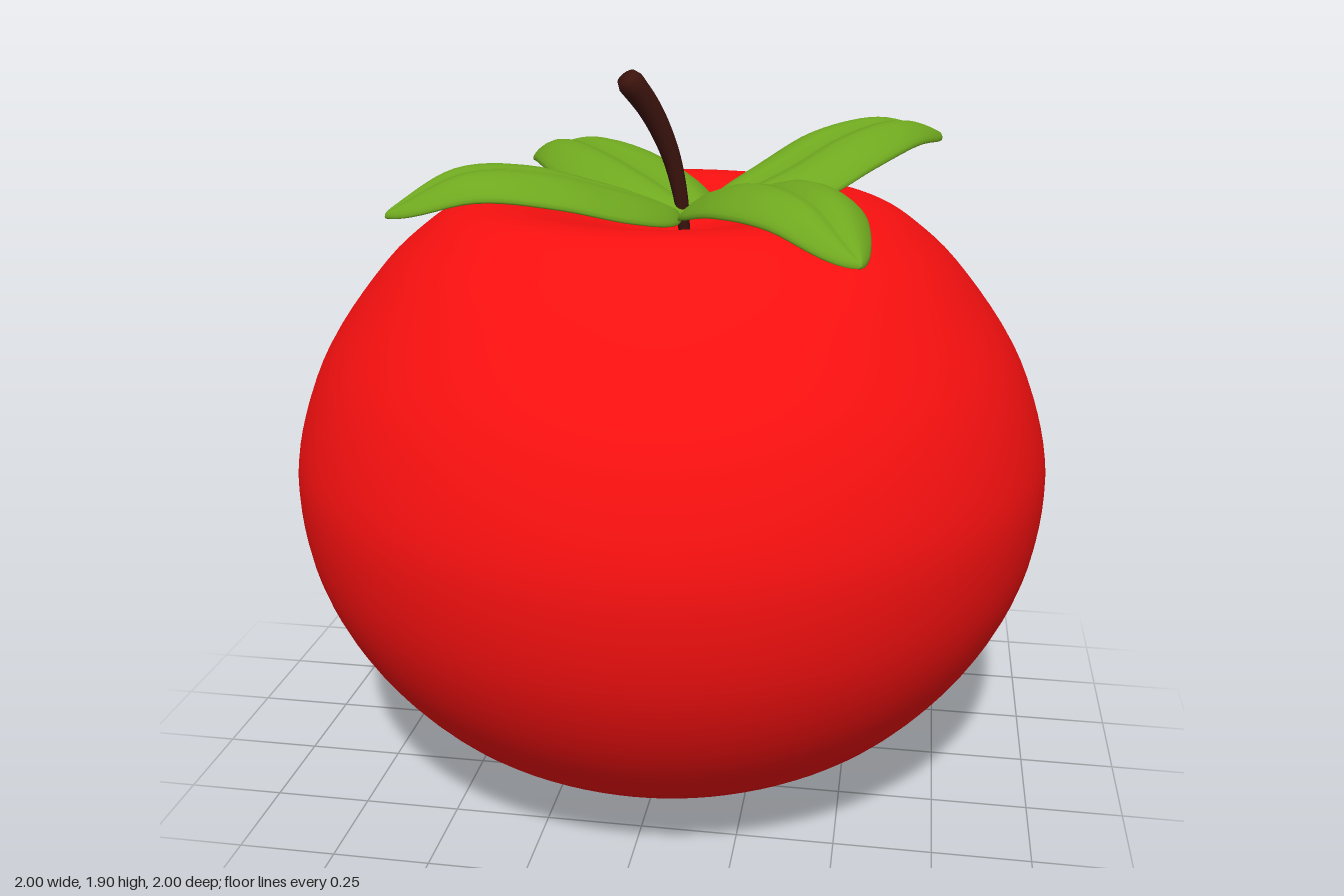
import * as THREE from 'three';

const material = (color, side = THREE.FrontSide) => new THREE.MeshStandardMaterial({ color, side, roughness: 0.6 });

// Skin a list of closed rings; rings that shrink to a point close the ends
function loft(rings) {
  const n = rings[0].length, positions = [], index = [];
  rings.forEach(ring => ring.forEach(p => positions.push(p.x, p.y, p.z)));
  for (let i = 0; i < rings.length - 1; i++) {
    for (let j = 0; j < n; j++) {
      const k = (j + 1) % n;
      const a = i * n + j, b = i * n + k, c = a + n, d = b + n;
      index.push(a, b, d, a, d, c);
    }
  }
  const g = new THREE.BufferGeometry();
  g.setAttribute('position', new THREE.Float32BufferAttribute(positions, 3));
  g.setIndex(index);
  g.computeVertexNormals();
  return g;
}

// Round fruit with a dimple at each end
function createBody() {
  const profile = new THREE.SplineCurve([
    [0, 0.07], [0.1, 0.045], [0.2, 0.008], [0.29, 0.003], [0.4, 0.04], [0.55, 0.118],
    [0.72, 0.24], [0.87, 0.42], [0.966, 0.62], [1, 0.83], [0.979, 1.0], [0.9, 1.2],
    [0.755, 1.4], [0.64, 1.505], [0.56, 1.552], [0.48, 1.568], [0.38, 1.558],
    [0.24, 1.525], [0.1, 1.49], [0, 1.475],
  ].map(([x, y]) => new THREE.Vector2(x, y)));
  const points = profile.getPoints(90);
  points.forEach(p => { p.x = Math.max(p.x, 0); p.y = Math.max(p.y, 0); });
  points[0].x = points[points.length - 1].x = 0;
  return new THREE.Mesh(new THREE.LatheGeometry(points, 96), material(0xf81010));
}

// Thick arched leaf: base and tip are [x, z], heights run from base to tip
function createLeaf(base, tip, heights) {
  const start = new THREE.Vector3(base[0], 0, base[1]);
  const dir = new THREE.Vector3(tip[0], 0, tip[1]).sub(start);
  const up = new THREE.Vector3(0, 1, 0);
  const side = up.clone().cross(dir).normalize();
  const arch = new THREE.SplineCurve(heights.map((y, i) => new THREE.Vector2(i / (heights.length - 1), y)));
  const rings = [], steps = 36, around = 32;
  for (let i = 0; i <= steps; i++) {
    const t = (1 - Math.cos(Math.PI * i / steps)) / 2;
    const width = 0.18 * Math.sqrt(t) * Math.pow(1 - t, 0.75) / 0.431;
    const thick = 0.022 * Math.pow(4 * t * (1 - t), 0.3);
    const fullness = width / 0.18;
    const ring = [];
    for (let j = 0; j < around; j++) {
      const a = 2 * Math.PI * j / around;
      const s = Math.cos(a), v = Math.sin(a);
      // Valley along the midrib, a hump on each half, edges curling down
      const camber = fullness * (0.03 * Math.sin(Math.PI * Math.pow(Math.abs(s), 0.8)) - 0.025 * s * s);
      ring.push(start.clone().addScaledVector(dir, t).addScaledVector(side, s * width)
        .addScaledVector(up, arch.getPoint(t).y + camber + thick * Math.sign(v) * Math.pow(Math.abs(v), 0.7)));
    }
    rings.push(ring);
  }
  return new THREE.Mesh(loft(rings), material(0x6fa81f));
}

// Bent stalk that widens towards its blunt top
function createStem() {
  const curve = new THREE.CatmullRomCurve3([
    [0.035, 1.46, 0], [0.025, 1.57, 0.01], [0, 1.69, 0.032], [-0.042, 1.8, 0.073], [-0.095, 1.888, 0.122],
  ].map(p => new THREE.Vector3(...p)));
  const steps = 24, around = 20;
  const frames = curve.computeFrenetFrames(steps);
  const rings = [];
  const addRing = (i, radius) => {
    const center = curve.getPointAt(i / steps);
    rings.push(Array.from({ length: around }, (_, j) => {
      const a = 2 * Math.PI * j / around;
      return center.clone().addScaledVector(frames.normals[i], radius * Math.cos(a))
        .addScaledVector(frames.binormals[i], radius * Math.sin(a));
    }));
  };
  addRing(0, 0);
  for (let i = 0; i < steps; i++) addRing(i, 0.014 + 0.021 * i / steps);
  addRing(steps, 0.026);
  addRing(steps, 0);
  return new THREE.Mesh(loft(rings), material(0x3d140e));
}

export function createModel() {
  const model = new THREE.Group();
  const add = (name, mesh) => { mesh.name = name; model.add(mesh); };
  add('body', createBody());
  add('stem', createStem());
  const leaves = [
    ['backLeftLeaf', [0.11, -0.02], [0.69, -0.56], [1.54, 1.585, 1.66, 1.695, 1.67]],
    ['backRightLeaf', [0.07, 0.01], [-0.5, -0.6], [1.53, 1.57, 1.605, 1.62, 1.585]],
    ['frontRightLeaf', [0.02, 0.03], [-0.63, 0.43], [1.53, 1.575, 1.625, 1.64, 1.58]],
    ['frontLeftLeaf', [0.1, 0.0], [0.52, 0.66], [1.54, 1.585, 1.625, 1.62, 1.545]],
  ];
  leaves.forEach(([name, base, tip, heights]) => add(name, createLeaf(base, tip, heights)));
  return model;
}
